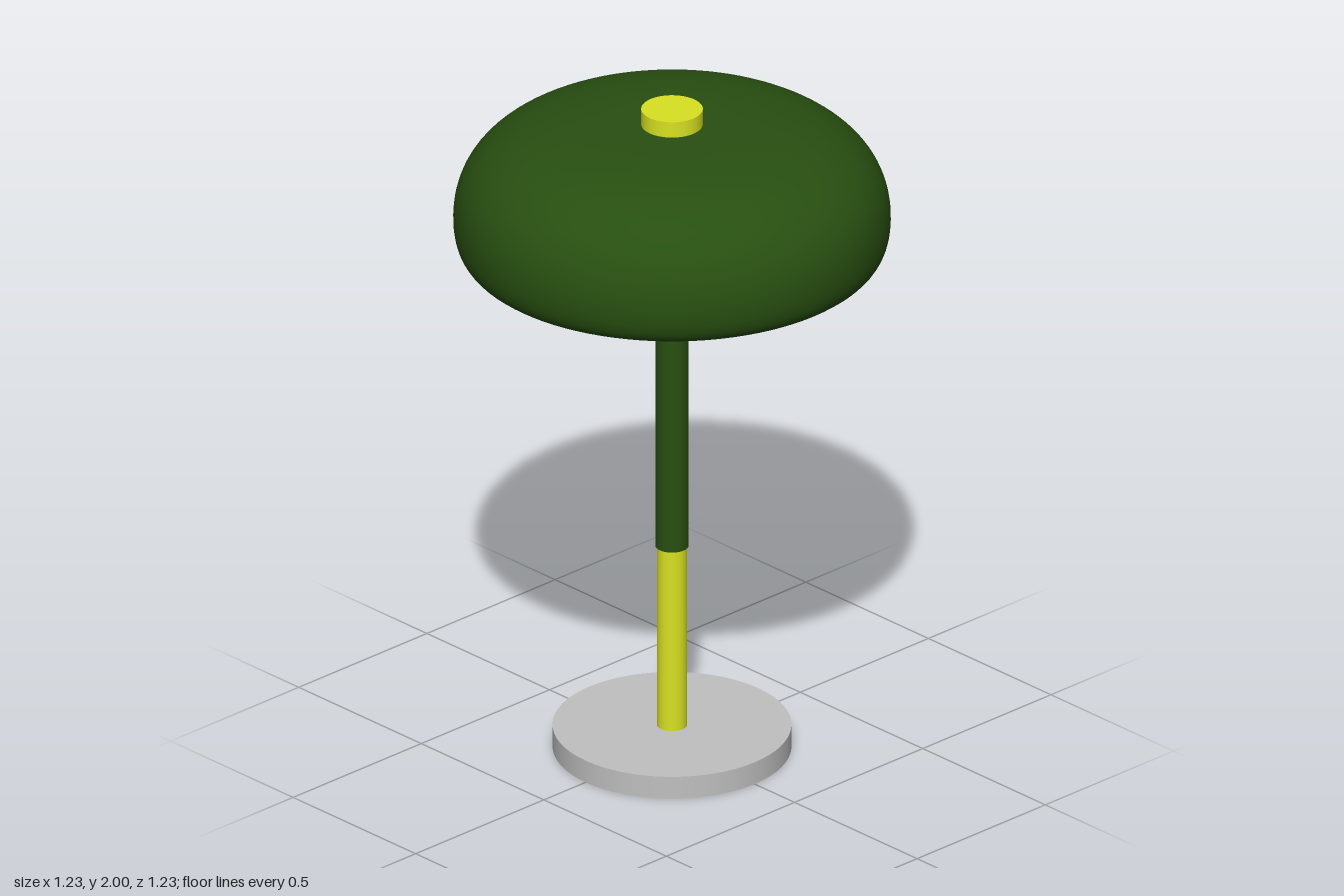
import * as THREE from 'three';

const mat = (name, color) => {
  const m = new THREE.MeshStandardMaterial({ color });
  m.name = name;
  return m;
};

export function createModel() {
  const lamp = new THREE.Group();
  lamp.name = 'tableLamp';
  const green = mat('darkGreen', 0x284f11);
  const yellow = mat('brightYellow', 0xd8e222);
  const grey = mat('lightGrey', 0xc0c0c0);

  const add = (name, geometry, material, y = 0) => {
    const mesh = new THREE.Mesh(geometry, material);
    mesh.name = name;
    mesh.position.y = y;
    lamp.add(mesh);
  };
  // Upright cylinder between two heights
  const rod = (name, radius, y0, y1, material) =>
    add(name, new THREE.CylinderGeometry(radius, radius, y1 - y0, 64), material, (y0 + y1) / 2);

  // Base and two-tone stem
  rod('base', 0.337, 0, 0.068, grey);
  rod('lowerStem', 0.043, 0.068, 0.635, yellow);
  rod('upperStem', 0.047, 0.63, 1.8, green);

  // Bulb under the dome and cap on top
  add('bulb', new THREE.SphereGeometry(0.088, 40, 24), grey, 1.82);
  rod('topCap', 0.087, 1.93, 2, yellow);

  // Hollow shade: rolled rim, outer dome, then the inner wall back down
  const v = (x, y) => new THREE.Vector2(x, y);
  const curve = (n, ...p) => new THREE.CubicBezierCurve(...p).getPoints(n);
  const outer = [
    ...curve(12, v(0.55, 1.545), v(0.595, 1.545), v(0.617, 1.59), v(0.617, 1.66)),
    ...curve(32, v(0.617, 1.66), v(0.617, 1.84), v(0.47, 1.952), v(0.16, 1.952)).slice(1),
    v(0, 1.952),
  ];
  const inner = [
    v(0, 1.932),
    ...curve(32, v(0.16, 1.932), v(0.46, 1.932), v(0.597, 1.83), v(0.597, 1.66)),
    ...curve(12, v(0.597, 1.66), v(0.597, 1.6), v(0.575, 1.565), v(0.535, 1.562)).slice(1),
  ];
  add('shadeOuter', new THREE.LatheGeometry(outer, 96), green);
  add('shadeInner', new THREE.LatheGeometry(inner, 96), green);
  add('shadeRim', new THREE.LatheGeometry([v(0.535, 1.562), v(0.538, 1.55), v(0.55, 1.545)], 96), green);

  return lamp;
}
